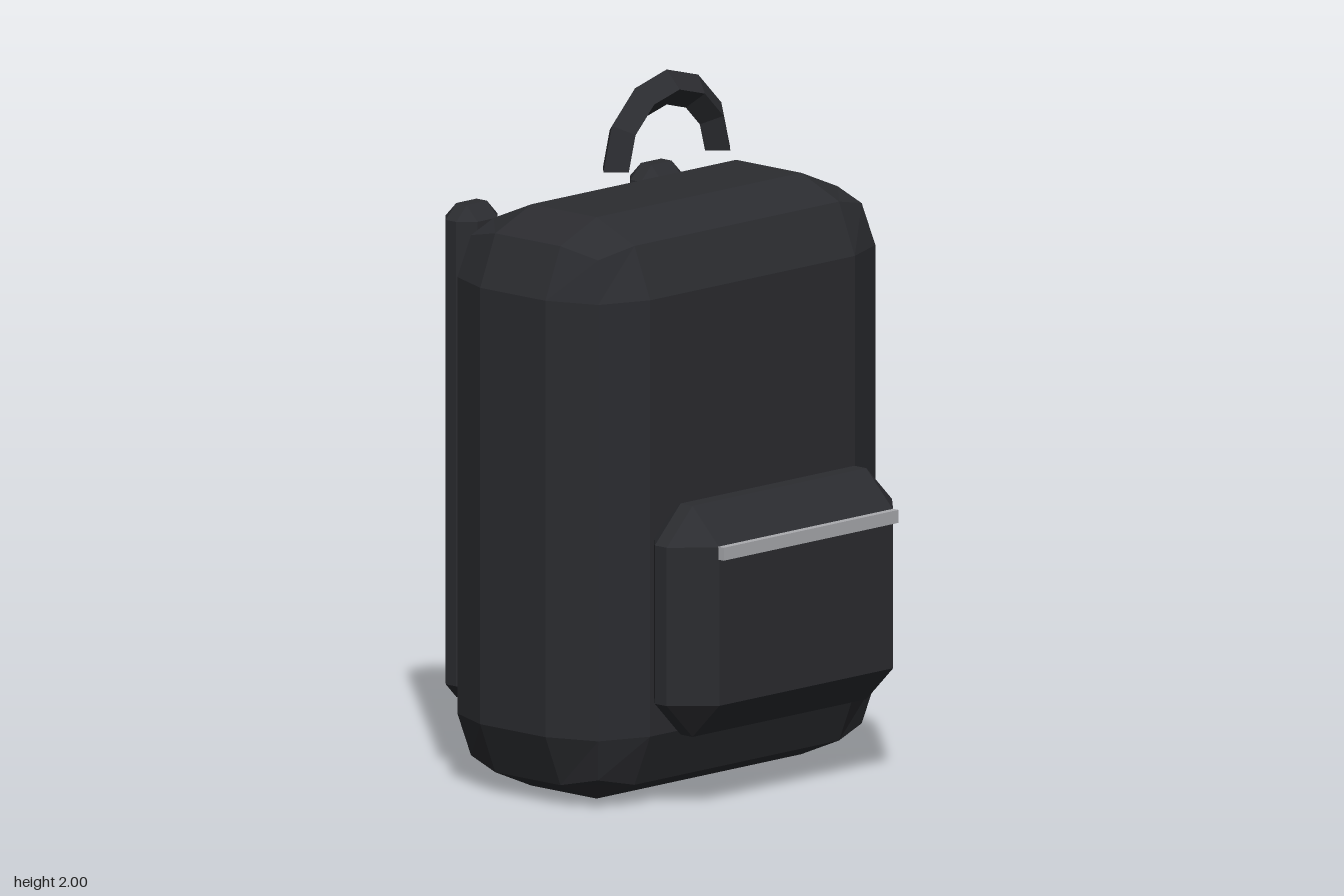
import * as THREE from 'three';
import { RoundedBoxGeometry } from 'three/addons/geometries/RoundedBoxGeometry.js';
import { ConvexGeometry } from 'three/addons/geometries/ConvexGeometry.js';

// Box of half sizes hx, hy, hz with every edge cut by a flat bevel c
function bevelledBox(hx, hy, hz, c) {
  const points = [];
  for (const sx of [-1, 1]) for (const sy of [-1, 1]) for (const sz of [-1, 1]) {
    points.push(
      new THREE.Vector3(sx * hx, sy * (hy - c), sz * (hz - c)),
      new THREE.Vector3(sx * (hx - c), sy * hy, sz * (hz - c)),
      new THREE.Vector3(sx * (hx - c), sy * (hy - c), sz * hz),
    );
  }
  return new ConvexGeometry(points);
}

export function createModel() {
  const group = new THREE.Group();
  const fabric = new THREE.MeshStandardMaterial({ color: 0x2b2c30, flatShading: true });
  const handleFabric = fabric.clone();
  handleFabric.side = THREE.DoubleSide;
  const metal = new THREE.MeshStandardMaterial({ color: 0xaaabaf, flatShading: true });

  const add = (name, geometry, material, x, y, z) => {
    const mesh = new THREE.Mesh(geometry, material);
    mesh.name = name;
    mesh.position.set(x, y, z);
    group.add(mesh);
  };

  // Main bag with two-step rounded edges
  add('body', new RoundedBoxGeometry(1.24, 1.66, 0.666, 1, 0.207), fabric, 0, 0.83, -0.053);

  // Front pocket and its zip
  add('frontPocket', bevelledBox(0.455, 0.33, 0.127, 0.104), fabric, 0, 0.542, 0.361);
  add('zip', new THREE.BoxGeometry(0.706, 0.037, 0.036), metal, 0, 0.752, 0.489);

  // Carry handle: half ring with a diamond section and open ends
  add('handle', new THREE.TorusGeometry(0.205, 0.05, 4, 6, Math.PI), handleFabric, 0, 1.745, -0.052);

  // Shoulder straps down the back
  for (const side of [1, -1]) {
    add(side > 0 ? 'leftStrap' : 'rightStrap', bevelledBox(0.083, 0.705, 0.062, 0.042), fabric, side * 0.373, 0.916, -0.449);
  }

  return group;
}
